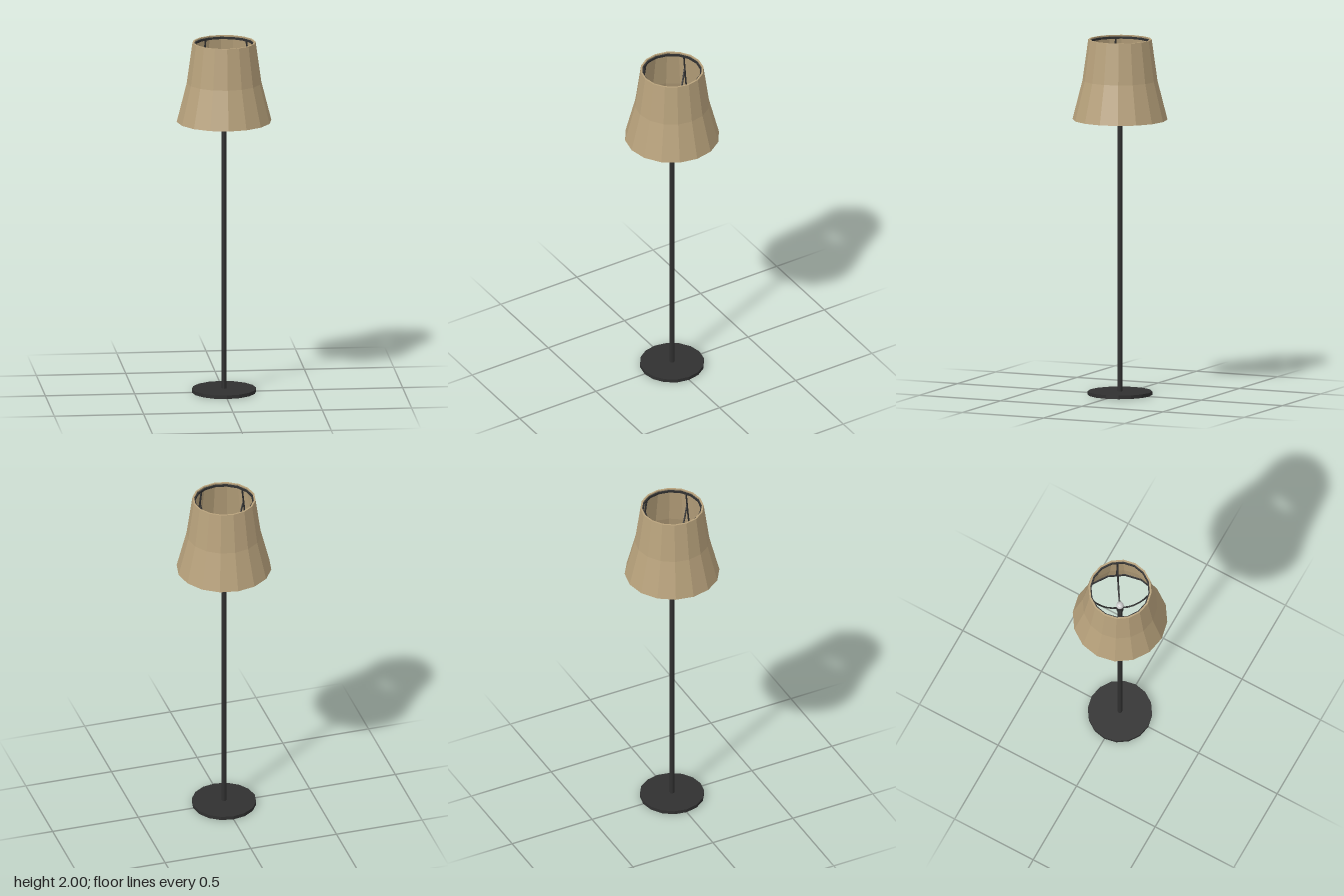
import * as THREE from 'three';

const SIDES = 16;
const dark = new THREE.MeshStandardMaterial({ color: 0x303030, flatShading: true });
const fabric = new THREE.MeshStandardMaterial({ color: 0xb8a27c, flatShading: true });
const grey = new THREE.MeshStandardMaterial({ color: 0xcccccc, flatShading: true });

function add(parent, name, geometry, material, y = 0) {
  const mesh = new THREE.Mesh(geometry, material);
  mesh.name = name;
  mesh.position.y = y;
  parent.add(mesh);
  return mesh;
}

// Closed ring of revolution from a counter-clockwise [radius, height] outline
function lathe(points) {
  const outline = [...points, points[0]].map(([r, y]) => new THREE.Vector2(r, y));
  return new THREE.LatheGeometry(outline, SIDES);
}

// Square-section hoop that lines the inside of the shade
function hoop(outer, inner, y0, y1) {
  return lathe([[outer, y0], [outer, y1], [inner, y1], [inner, y0]]);
}

function rod(points, radius, segments) {
  const curve = new THREE.CatmullRomCurve3(points.map(p => new THREE.Vector3(...p)));
  return new THREE.TubeGeometry(curve, segments, radius, 6);
}

export function createModel() {
  const lamp = new THREE.Group();
  lamp.name = 'floorLamp';

  // Base and pole
  add(lamp, 'base', new THREE.CylinderGeometry(0.18, 0.18, 0.02, SIDES), dark, 0.01);
  add(lamp, 'pole', new THREE.CylinderGeometry(0.013, 0.013, 1.67, 10), dark, 0.85);

  // Socket and bulb
  add(lamp, 'socket', new THREE.CylinderGeometry(0.02, 0.02, 0.05, 10), dark, 1.7);
  add(lamp, 'bulb', new THREE.SphereGeometry(0.022, 10, 8), grey, 1.74);

  // Thick-walled shade, slightly flared towards the bottom
  add(lamp, 'shade', lathe([
    [0.265, 1.55], [0.209, 1.77], [0.177, 2],
    [0.167, 2], [0.199, 1.77], [0.254, 1.55],
  ]), fabric);

  // Wire frame inside the shade
  add(lamp, 'topHoop', hoop(0.168, 0.16, 1.98, 1.992), dark);
  add(lamp, 'bottomHoop', hoop(0.254, 0.243, 1.555, 1.57), dark);

  // Four ribs on the shade wall, each with an arm to the socket
  for (let i = 0; i < 4; i++) {
    const frame = new THREE.Group();
    frame.name = 'frameArm';
    frame.rotation.y = -(2.5 / SIDES + i / 4) * Math.PI * 2;
    add(frame, 'rib', rod([[0.243, 1.56, 0], [0.193, 1.77, 0], [0.161, 1.985, 0]], 0.005, 6), dark);
    add(frame, 'arm', rod([[0.01, 1.7, 0], [0.06, 1.71, 0], [0.12, 1.78, 0], [0.173, 1.9, 0]], 0.005, 8), dark);
    lamp.add(frame);
  }
  return lamp;
}
